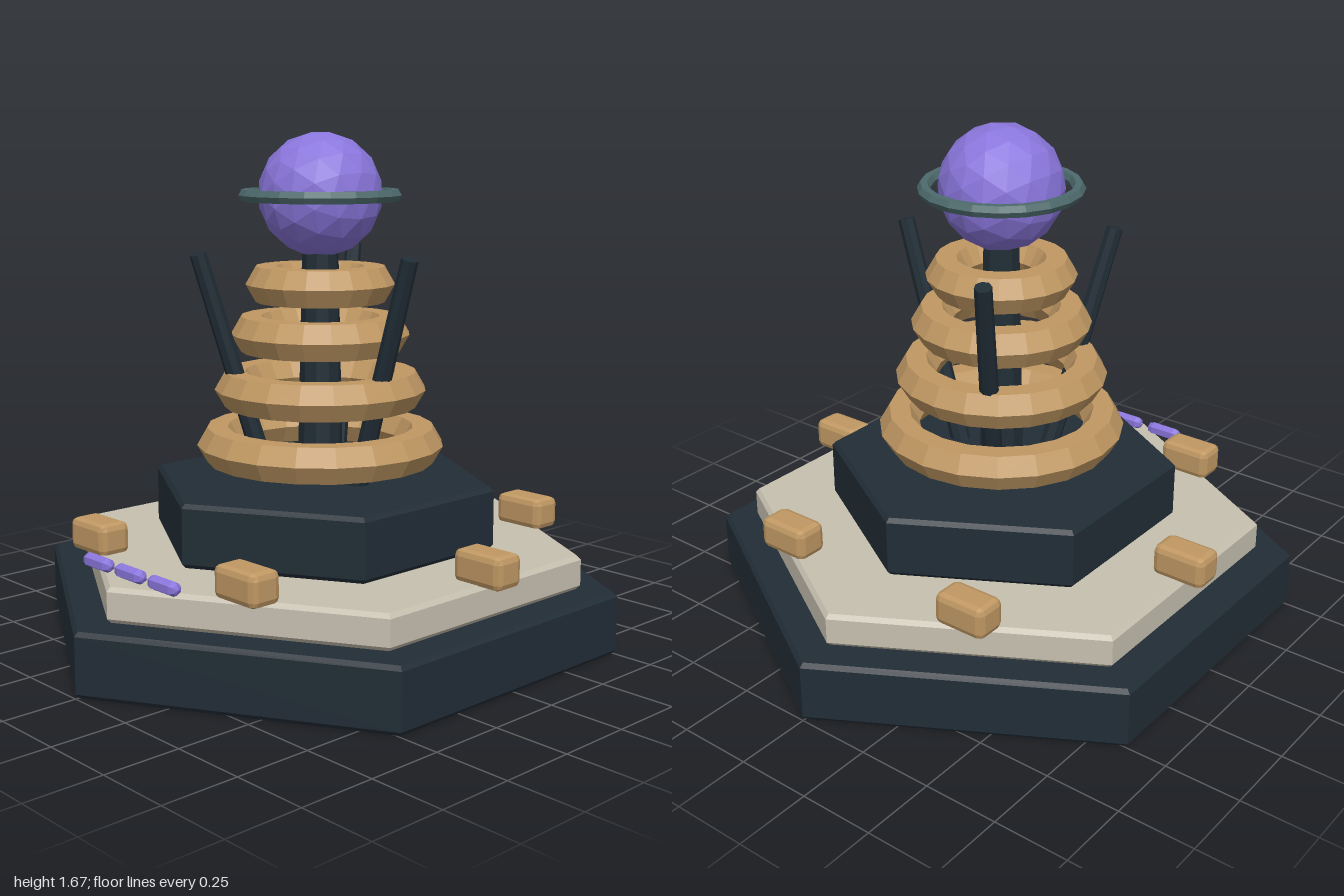
import * as THREE from 'three';
import { RoundedBoxGeometry } from 'three/addons/geometries/RoundedBoxGeometry.js';

const paint = (name, color) => new THREE.MeshStandardMaterial({ name, color, flatShading: true });

export function createModel() {
  const dark = paint('dark slate', 0x212d36);
  const stone = paint('pale stone', 0xc6c0b0);
  const copper = paint('copper', 0xc09863);
  const violet = paint('violet', 0x8a76dc);
  const teal = paint('grey teal', 0x4d6a6c);

  const model = new THREE.Group();
  model.name = 'coilTower';
  const add = (name, geometry, material, x = 0, y = 0, z = 0) => {
    const mesh = new THREE.Mesh(geometry, material);
    mesh.name = name;
    mesh.position.set(x, y, z);
    model.add(mesh);
    return mesh;
  };

  // Hexagonal slab with chamfered rims, one corner facing the front
  const slab = (name, r, y0, y1, material, b = 0.014) => {
    const profile = [[0, y0], [r - b, y0], [r, y0 + b], [r, y1 - b], [r - b, y1], [0, y1]];
    add(name, new THREE.LatheGeometry(profile.map(p => new THREE.Vector2(...p)), 6), material);
  };
  slab('base', 1, 0, 0.207, dark);
  slab('deck', 0.88, 0.207, 0.32, stone);
  slab('plinth', 0.592, 0.32, 0.527, dark);

  // Central column
  add('column', new THREE.CylinderGeometry(0.06, 0.077, 0.8, 10), dark, 0, 0.9, 0);

  // Stacked coil rings, shrinking upwards
  [[0.345, 0.642], [0.285, 0.828], [0.23, 1.012], [0.18, 1.176]].forEach(([r, y], i) => {
    const ring = add('coilRing' + (i + 1), new THREE.TorusGeometry(r, 0.068, 6, 20), copper, 0, y, 0);
    ring.rotation.x = Math.PI / 2;
  });

  // Orb and its halo
  add('orb', new THREE.IcosahedronGeometry(0.205, 2), violet, 0, 1.468, 0);
  const halo = add('halo', new THREE.TorusGeometry(0.247, 0.022, 6, 20), teal, 0, 1.466, 0);
  halo.rotation.x = Math.PI / 2;

  // Three struts leaning outwards
  const up = new THREE.Vector3(0, 1, 0);
  for (let i = 0; i < 3; i++) {
    const a = i * Math.PI * 2 / 3;
    const at = (r, y) => new THREE.Vector3(r * Math.cos(a), y, r * Math.sin(a));
    const foot = at(0.17, 0.49), tip = at(0.406, 1.28);
    const dir = tip.clone().sub(foot);
    const strut = add('strut' + (i + 1), new THREE.CylinderGeometry(0.028, 0.034, dir.length(), 8), dark);
    strut.position.copy(foot).add(tip).multiplyScalar(0.5);
    strut.quaternion.setFromUnitVectors(up, dir.normalize());
  }

  // Chamfered blocks around the deck
  for (let i = 0; i < 6; i++) {
    const a = i * Math.PI / 3;
    add('deckBlock' + (i + 1), new RoundedBoxGeometry(0.185, 0.107, 0.112, 1, 0.022), copper,
      0.742 * Math.cos(a), 0.366, 0.742 * Math.sin(a));
  }

  // Row of indicator lights at the front corner
  for (const i of [-1, 0, 1]) {
    const light = add('light' + (i + 2), new THREE.CapsuleGeometry(0.024, 0.09, 2, 6), violet, i * 0.167, 0.345, 0.79);
    light.rotation.z = Math.PI / 2;
  }
  return model;
}
